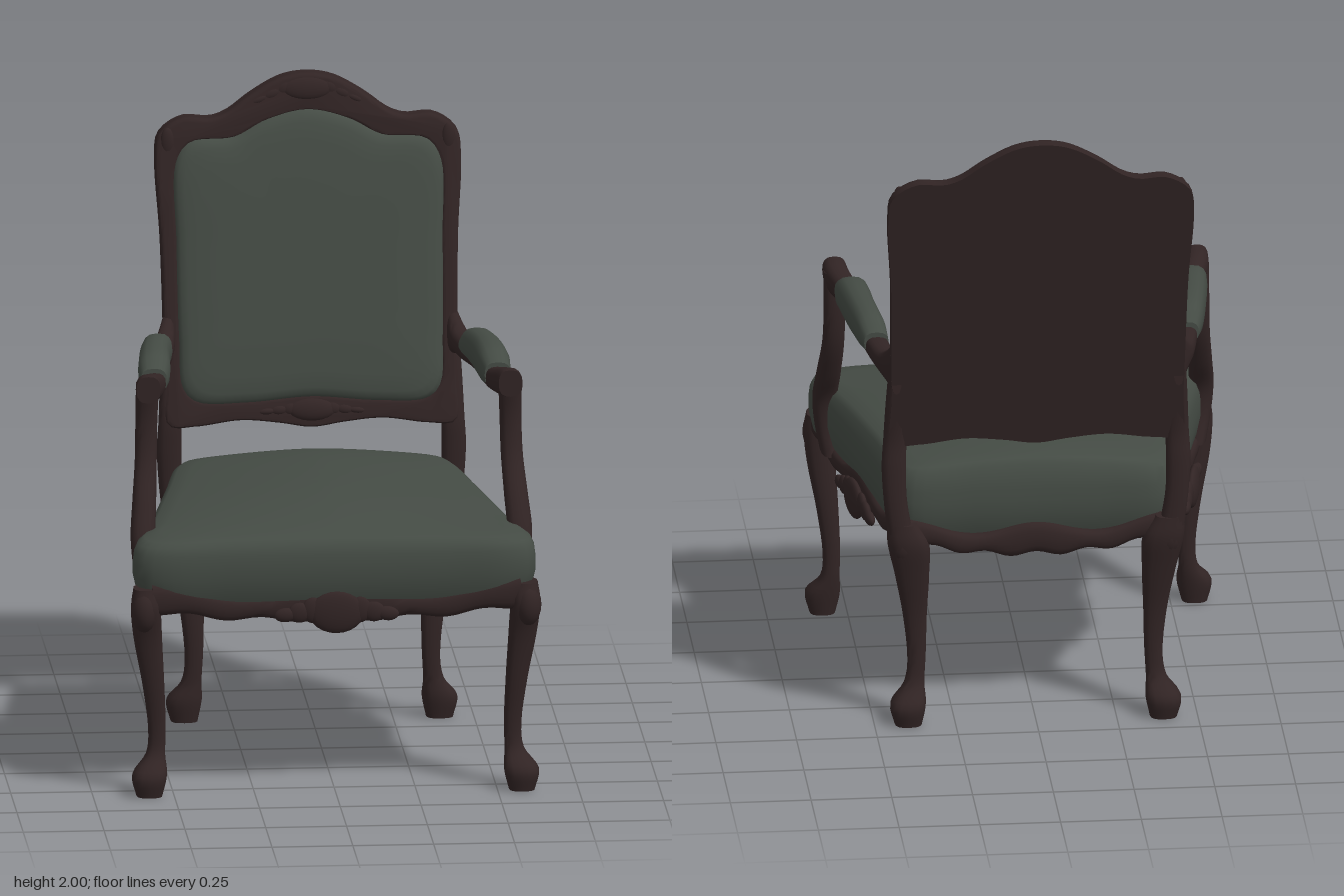
import * as THREE from 'three';
import { toCreasedNormals } from 'three/addons/utils/BufferGeometryUtils.js';

// The fabric is double-sided because the seat is an open shell
const fabric = new THREE.MeshStandardMaterial({ color: 0x444b44, side: THREE.DoubleSide });
fabric.name = 'greenFabric';
const wood = new THREE.MeshStandardMaterial({ color: 0x312424 });
wood.name = 'darkWood';
const V = (x, y, z) => new THREE.Vector3(x, y, z);

// Skin a list of equal-length rings, facing outward; the first end may stay open
function skin(rings, open = false) {
  const n = rings[0].length, pos = [], idx = [];
  const centre = r => r.reduce((s, p) => s.add(p), V(0, 0, 0)).divideScalar(n);
  const all = [...rings.flat(), centre(rings[0]), centre(rings.at(-1))];
  all.forEach(p => pos.push(p.x, p.y, p.z));
  const first = all.length - 2, last = all.length - 1, base = (rings.length - 1) * n;
  for (let j = 0; j < n; j++) {
    const k = (j + 1) % n;
    for (let i = 0; i < rings.length - 1; i++) {
      const a = i * n + j, b = i * n + k;
      idx.push(a, b, b + n, a, b + n, a + n);
    }
    if (!open) idx.push(first, k, j);
    idx.push(last, base + j, base + k);
  }
  let volume = 0;
  for (let i = 0; i < idx.length; i += 3) {
    const [a, b, c] = [0, 1, 2].map(o => all[idx[i + o]].clone().sub(all[first]));
    volume += a.dot(b.cross(c));
  }
  if (volume < 0) idx.reverse();
  const g = new THREE.BufferGeometry();
  g.setAttribute('position', new THREE.Float32BufferAttribute(pos, 3));
  g.setIndex(idx);
  return toCreasedNormals(g, 0.9);
}

// Rounded-square section of half sizes a and b
function section(a, b, n = 16) {
  const soft = v => Math.sign(v) * Math.abs(v) ** 0.75;
  return Array.from({ length: n }, (_, i) => {
    const t = (i / n) * Math.PI * 2;
    return [a * soft(Math.cos(t)), b * soft(Math.sin(t))];
  });
}

// Loft through stations [x, y, z, halfA, halfB] with rings square to an axis
function loft(stations, axis, side, steps = 28) {
  const path = new THREE.CatmullRomCurve3(stations.map(s => V(s[0] * side, s[1], s[2])));
  const size = new THREE.CatmullRomCurve3(stations.map((s, i) => V(s[3], s[4], i * 0.05)));
  const rings = [];
  for (let i = 0; i <= steps; i++) {
    const p = path.getPoint(i / steps), r = size.getPoint(i / steps);
    rings.push(section(r.x, r.y).map(([a, b]) =>
      axis === 'y' ? V(p.x + a, p.y, p.z + b) : V(p.x + a, p.y + b, p.z)));
  }
  return skin(rings);
}

// Closed smooth outline from one half that starts and ends on x = 0
function outline(half, n = 128) {
  const other = half.slice(1, -1).reverse().map(([x, y]) => [-x, y]);
  const pts = [...half, ...other].map(([x, y]) => V(x, y, 0));
  return new THREE.CatmullRomCurve3(pts, true).getSpacedPoints(n).slice(0, n);
}

// Lean of the back: depth falls away with height
const lean = (y, w) => -0.375 - 0.198 * (y - 0.95) + w;
function leanGeometry(g) {
  const p = g.attributes.position;
  for (let i = 0; i < p.count; i++) p.setZ(i, lean(p.getY(i), p.getZ(i)));
  return toCreasedNormals(g, 0.6);
}

export function createModel() {
  const chair = new THREE.Group();
  chair.name = 'armchair';
  const add = (name, g, material, parent = chair) => {
    const m = new THREE.Mesh(g, material);
    m.name = name;
    parent.add(m);
    return m;
  };

  // Carved shell: an oval boss with leaf lobes trailing to both sides
  const ball = new THREE.SphereGeometry(1, 18, 12);
  function boss(name, [x, y, z], [w, h, d], parent = chair) {
    const m = add(name, ball, wood, parent);
    m.position.set(x, y, z);
    m.scale.set(w, h, d);
    return m;
  }
  function carving(name, place, [w, h, d], turn, tilt, droop) {
    const group = new THREE.Group();
    group.name = name;
    boss('boss', [0, 0, 0], [w, h, d], group);
    for (const s of [-1, 1]) {
      for (let i = 0; i < 3; i++) {
        const leaf = boss('leaf', [s * w * (0.85 + i * 0.5), h * (0.1 - i * droop), -d * 0.2],
          [w * 0.42, h * (0.62 - i * 0.14), d * 0.75], group);
        leaf.rotation.z = -s * droop * 0.8;
      }
    }
    group.position.set(...place);
    group.rotation.set(tilt, turn, 0);
    chair.add(group);
  }

  // Seat cushion: open-bottomed shell with rolled edges and a crowned top
  const plan = outline([[0, 0.612], [0.35, 0.608], [0.54, 0.602], [0.607, 0.57], [0.622, 0.49],
    [0.592, 0.41], [0.56, 0.28], [0.49, -0.05], [0.432, -0.34], [0.4, -0.39], [0.2, -0.4], [0, -0.4]]);
  const crown = (x, z) => 0.8 + 0.088 * (1 - Math.abs(x / 0.63) ** 1.6) * (1 - Math.abs(z / 0.63) ** 2.4);
  const seatRings = [[0.95, 0.6], [0.98, 0.635], [1, 0.69], [1, 0.73], [0.993, 0.765], [0.975, -0.014],
    [0.94, -0.003], [0.85, 0], [0.7, 0], [0.55, 0], [0.4, 0], [0.25, 0], [0.1, 0]];
  add('seatCushion', skin(seatRings.map(([s, y]) => plan.map(p => {
    const x = p.x * s, z = 0.1 + (p.y - 0.1) * s;
    return V(x, y > 0.5 ? y : crown(x, z) + y, z);
  })), true), fabric);

  // Scalloped rails beneath the cushion
  function rail(name, from, to, bow, rise) {
    const dx = to[0] - from[0], dz = to[1] - from[1], len = Math.hypot(dx, dz);
    const nx = -dz / len, nz = dx / len, rings = [];
    for (let i = 0; i <= 40; i++) {
      const t = i / 40, u = Math.abs(2 * t - 1);
      const top = 0.637 + 0.02 * Math.cos(u * Math.PI * 2) + 0.02 * u * u;
      const low = 0.55 + rise * u * u + 0.008 * Math.cos(u * Math.PI * 5);
      const out = bow * (1 - u * u);
      rings.push(section(0.03, (top - low) / 2).map(([a, b]) => V(
        from[0] + dx * t + nx * (a + out), (top + low) / 2 + b, from[1] + dz * t + nz * (a + out))));
    }
    add(name, skin(rings), wood);
  }
  rail('frontRail', [0.57, 0.578], [-0.57, 0.578], 0.012, 0.035);
  rail('rearRail', [-0.39, -0.385], [0.39, -0.385], 0, 0.05);
  rail('leftRail', [0.405, -0.37], [0.585, 0.52], 0.012, 0.055);
  rail('rightRail', [-0.585, 0.52], [-0.405, -0.37], 0.012, 0.055);
  carving('frontShell', [0, 0.582, 0.607], [0.085, 0.066, 0.02], 0, 0, 0.1);
  for (const s of [-1, 1]) carving('sideShell', [s * 0.525, 0.58, 0.04], [0.085, 0.062, 0.02], s * 1.77, 0, 0.1);

  // Back: wooden plate, raised frame and padded panel
  const edge = outline([[0, 0.928], [0.1, 0.942], [0.22, 0.952], [0.36, 0.935], [0.445, 0.94],
    [0.452, 1.1], [0.46, 1.5], [0.473, 1.74], [0.462, 1.82], [0.39, 1.87], [0.3, 1.868],
    [0.25, 1.885], [0.175, 1.938], [0.08, 1.988], [0, 2.0]], 160);
  const panel = outline([[0, 1.02], [0.2, 1.005], [0.36, 1.01], [0.4, 1.05], [0.41, 1.2],
    [0.414, 1.5], [0.412, 1.74], [0.37, 1.8], [0.23, 1.815], [0.13, 1.865], [0, 1.895]]);
  const inset = (p, s) => [p.x * s, 1.45 + (p.y - 1.45) * s];
  const bevel = { bevelThickness: 0.012, bevelSize: 0.012, bevelOffset: -0.012, bevelSegments: 3 };
  const flat = () => new THREE.Shape(edge.map(p => new THREE.Vector2(p.x, p.y)));
  const plate = new THREE.ExtrudeGeometry(flat(), { depth: 0.026, bevelEnabled: false });
  add('backPlate', leanGeometry(plate.translate(0, 0, -0.047)), wood);
  const ringShape = flat();
  ringShape.holes.push(new THREE.Path(panel.map(p => new THREE.Vector2(...inset(p, 0.985)))));
  const frame = new THREE.ExtrudeGeometry(ringShape, { depth: 0.02, ...bevel });
  add('backFrame', leanGeometry(frame.translate(0, 0, -0.024)), wood);
  const padRings = [[1, -0.025], [1, -0.004], [0.99, 0.01], [0.965, 0.02], [0.92, 0.026],
    [0.8, 0.031], [0.5, 0.034], [0.15, 0.035]];
  add('backCushion', skin(padRings.map(([s, w]) => panel.map(p => {
    const [x, y] = inset(p, s);
    return V(x, y, lean(y, w));
  }))), fabric);
  carving('crestShell', [0, 1.955, lean(1.955, 0.002)], [0.08, 0.036, 0.016], 0, -0.195, 0.5);
  carving('lowerShell', [0, 0.982, lean(0.982, 0.002)], [0.075, 0.036, 0.02], 0, -0.195, 0.1);

  for (const s of [-1, 1]) {
    const side = s > 0 ? 'left' : 'right';

    // Curved legs with swelling feet and carved knees
    add(side + 'FrontLeg', loft([[0.585, 0.66, 0.56, 0.04, 0.045], [0.587, 0.6, 0.565, 0.046, 0.055],
      [0.58, 0.5, 0.55, 0.044, 0.043], [0.562, 0.35, 0.537, 0.034, 0.036], [0.55, 0.2, 0.529, 0.027, 0.028],
      [0.555, 0.125, 0.533, 0.03, 0.031], [0.575, 0.065, 0.56, 0.054, 0.053], [0.576, 0, 0.56, 0.04, 0.042]],
      'y', s), wood);
    add(side + 'RearLeg', loft([[0.415, 0.67, -0.4, 0.045, 0.038], [0.395, 0.6, -0.395, 0.064, 0.048],
      [0.383, 0.5, -0.385, 0.054, 0.038], [0.372, 0.35, -0.366, 0.037, 0.03], [0.367, 0.2, -0.364, 0.028, 0.027],
      [0.375, 0.125, -0.37, 0.032, 0.03], [0.395, 0.065, -0.39, 0.055, 0.054], [0.395, 0, -0.39, 0.042, 0.042]],
      'y', s), wood);
    boss(side + 'FrontKnee', [s * 0.593, 0.59, 0.582], [0.042, 0.068, 0.046]);
    boss(side + 'RearKnee', [s * 0.41, 0.6, -0.402], [0.046, 0.065, 0.04]);
    boss(side + 'BackCornerLeaf', [s * 0.435, 1.795, lean(1.795, 0)], [0.022, 0.05, 0.014]);

    // Post joining the back to the rear leg
    add(side + 'BackPost', loft([[0.432, 1.25, -0.453, 0.024, 0.022], [0.432, 1.1, -0.423, 0.034, 0.026],
      [0.437, 0.95, -0.4, 0.036, 0.028], [0.44, 0.86, -0.402, 0.038, 0.03],
      [0.436, 0.75, -0.405, 0.036, 0.03], [0.415, 0.6, -0.4, 0.04, 0.036]], 'y', s), wood);

    // Arm flaring into the back, its pad, and the swept support
    add(side + 'Arm', loft([[0.437, 1.21, -0.462, 0.018, 0.09], [0.446, 1.2, -0.42, 0.026, 0.06],
      [0.46, 1.192, -0.36, 0.032, 0.035], [0.478, 1.195, -0.24, 0.036, 0.032], [0.505, 1.203, -0.05, 0.034, 0.026],
      [0.53, 1.208, 0.17, 0.036, 0.036], [0.556, 1.22, 0.27, 0.039, 0.046], [0.56, 1.228, 0.325, 0.037, 0.042]],
      'z', s), wood);
    add(side + 'ArmPad', loft([[0.48, 1.208, -0.245, 0.038, 0.034], [0.492, 1.226, -0.19, 0.045, 0.054],
      [0.512, 1.234, -0.05, 0.047, 0.062], [0.525, 1.232, 0.1, 0.05, 0.059],
      [0.532, 1.218, 0.172, 0.041, 0.04]], 'z', s), fabric);
    add(side + 'ArmSupport', loft([[0.56, 1.24, 0.285, 0.036, 0.04], [0.563, 1.12, 0.274, 0.034, 0.036],
      [0.566, 1.0, 0.29, 0.034, 0.038], [0.575, 0.88, 0.345, 0.037, 0.045], [0.582, 0.78, 0.395, 0.039, 0.042],
      [0.572, 0.69, 0.41, 0.042, 0.055], [0.562, 0.6, 0.41, 0.035, 0.085]], 'y', s), wood);
  }
  return chair;
}
